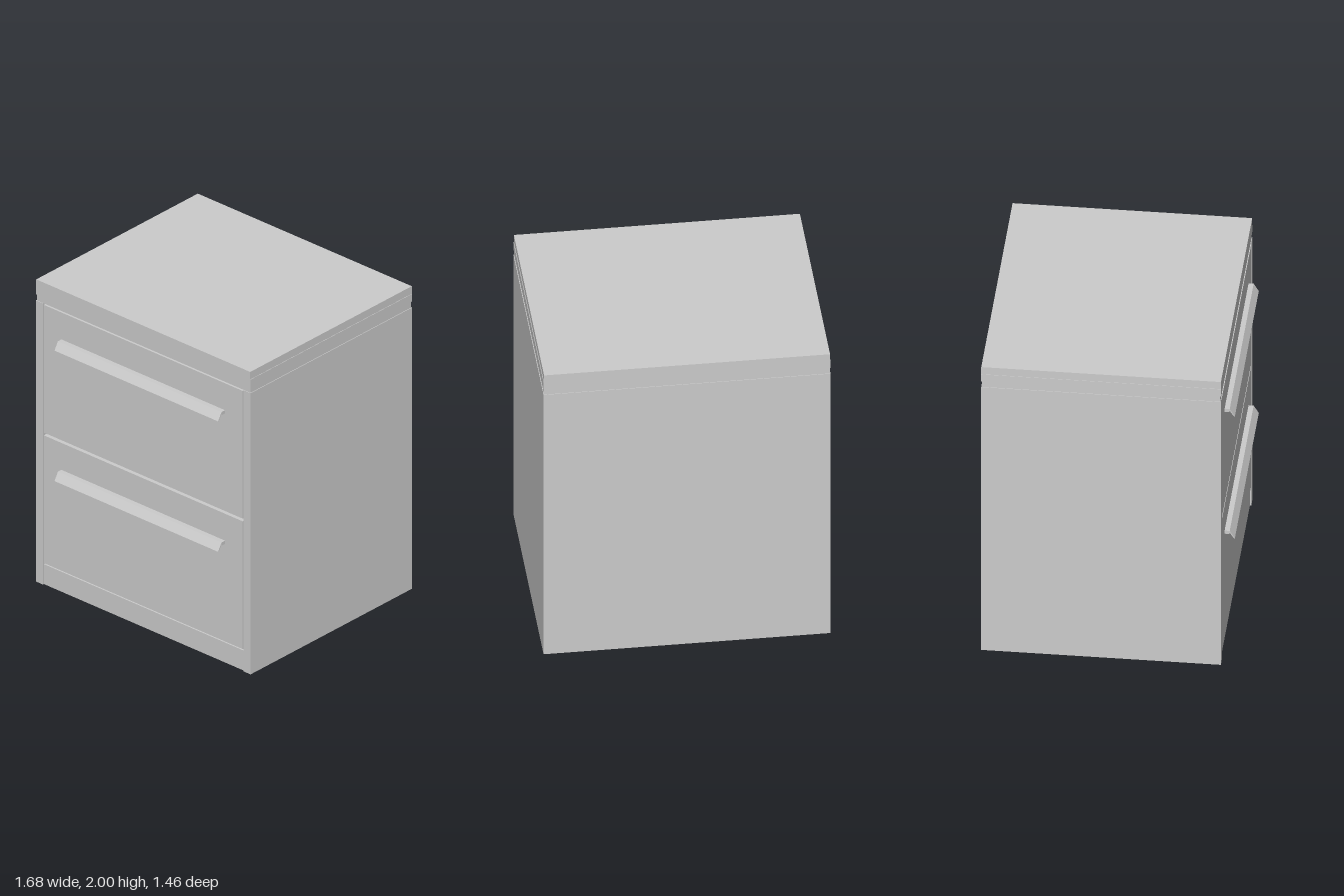
import * as THREE from 'three';

const material = new THREE.MeshStandardMaterial({ color: 0xcccccc });
const HALF_W = 0.84, BACK = -0.73, FRONT = 0.67;

// Box given by its lower and upper limits on each axis
function box(name, [x0, x1], [y0, y1], [z0, z1]) {
  const mesh = new THREE.Mesh(new THREE.BoxGeometry(x1 - x0, y1 - y0, z1 - z0), material);
  mesh.position.set((x0 + x1) / 2, (y0 + y1) / 2, (z0 + z1) / 2);
  mesh.name = name;
  return mesh;
}

// Lipped pull: a short flange on the drawer and a thin blade sloping down and out
function createHandle(topY) {
  const profile = new THREE.Shape([
    [0, -0.022], [0.028, -0.022], [0.028, -0.011], [0.054, -0.05],
    [0.06, -0.05], [0.03, 0], [0, 0],
  ].map(([z, y]) => new THREE.Vector2(-z, y)));
  const geometry = new THREE.ExtrudeGeometry(profile, { depth: 1.28, bevelEnabled: false });
  geometry.translate(0, 0, -0.64);
  geometry.rotateY(Math.PI / 2); // profile depth now points to +z, length along x
  const handle = new THREE.Mesh(geometry, material);
  handle.position.set(0, topY, FRONT);
  handle.name = 'handle';
  return handle;
}

export function createModel() {
  const cabinet = new THREE.Group();
  cabinet.name = 'drawerCabinet';

  // Worktop: thick slab, lower board and a slightly set-back seam
  const full = [-HALF_W, HALF_W];
  cabinet.add(
    box('topSlab', [-HALF_W + 0.003, HALF_W - 0.003], [1.95, 2], [BACK, FRONT]),
    box('topBoard', full, [1.9, 1.95], [BACK, FRONT]),
    box('topSeam', [-HALF_W + 0.004, HALF_W - 0.004], [1.86, 1.9], [BACK + 0.004, FRONT - 0.004]),
  );

  // Carcass: two sides, back panel and the core behind the drawers
  for (const side of [-1, 1]) {
    const xs = [side * 0.785, side * HALF_W].sort((a, b) => a - b);
    cabinet.add(box(side > 0 ? 'leftSide' : 'rightSide', xs, [0, 1.86], [-0.67, FRONT]));
  }
  cabinet.add(
    box('backPanel', full, [0, 1.86], [BACK, -0.67]),
    box('core', [-0.785, 0.785], [0.002, 1.86], [-0.67, FRONT - 0.03]),
    box('plinth', [-0.785, 0.785], [0, 0.132], [FRONT - 0.03, FRONT - 0.008]),
  );

  // Two drawers, each with a front and a full-width pull
  for (const [i, y] of [0.145, 1.008].entries()) {
    const drawer = new THREE.Group();
    drawer.name = i ? 'upperDrawer' : 'lowerDrawer';
    drawer.add(
      box('drawerFront', [-0.778, 0.778], [y, y + 0.845], [FRONT - 0.03, FRONT]),
      createHandle(y + 0.667),
    );
    cabinet.add(drawer);
  }
  return cabinet;
}
